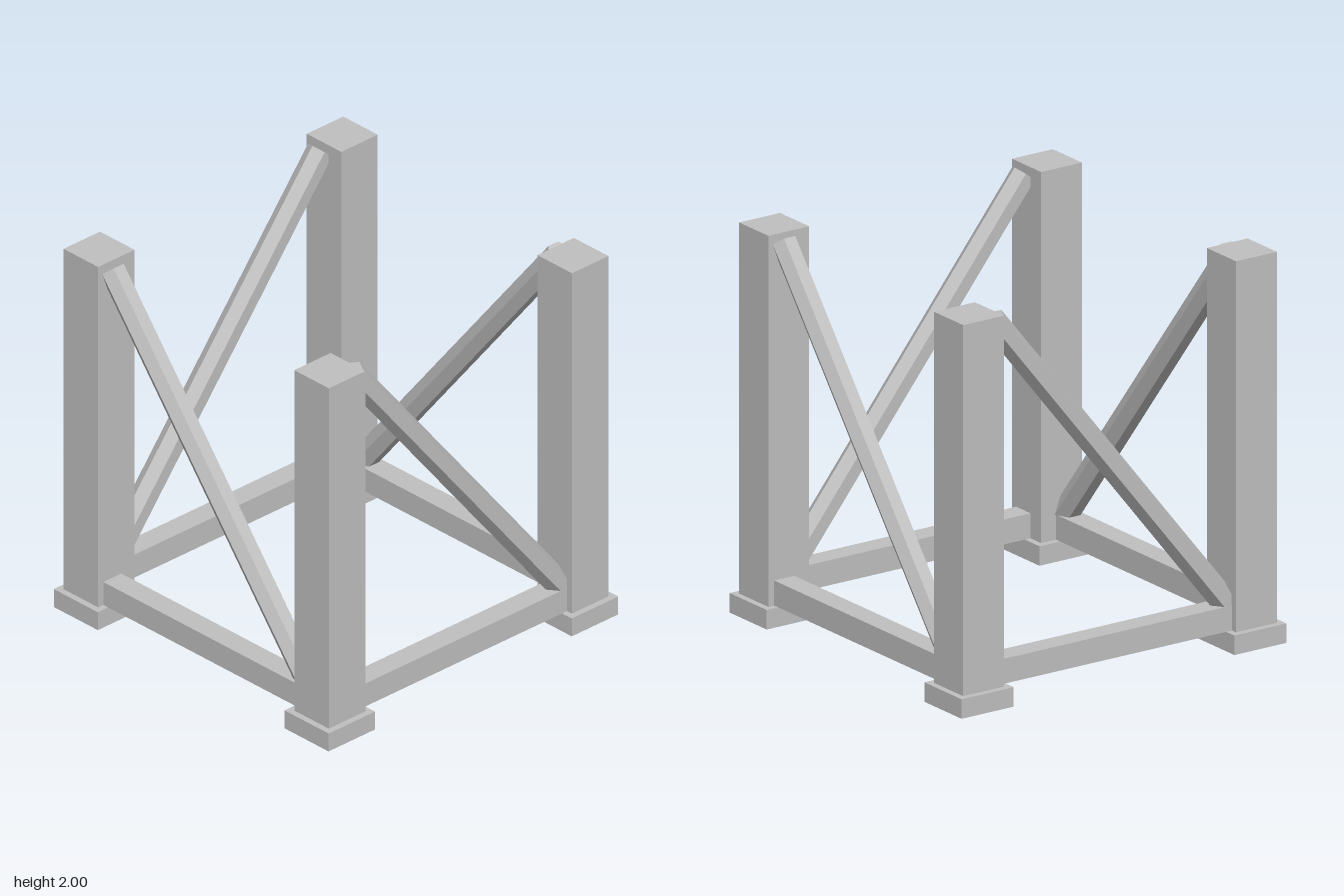
import * as THREE from 'three';

export function createModel() {
  const model = new THREE.Group();
  model.name = 'bracedTowerFrame';

  const grey = new THREE.MeshStandardMaterial({ color: 0xc0c0c0, flatShading: true });
  grey.name = 'concrete grey';

  const add = (name, geometry, x, y, z) => {
    const mesh = new THREE.Mesh(geometry, grey);
    mesh.name = name;
    mesh.position.set(x, y, z);
    model.add(mesh);
    return mesh;
  };

  const corner = 0.811;    // post centre line
  const side = 0.838;      // beam and brace centre line
  const inner = 0.69;      // inner face of the posts
  const footTop = 0.1, beamTop = 0.228, braceTop = 1.95;

  // Square posts on wider feet
  const postGeo = new THREE.BoxGeometry(0.243, 2 - footTop, 0.243);
  const footGeo = new THREE.BoxGeometry(0.31, footTop, 0.31);
  for (const sx of [-1, 1]) {
    for (const sz of [-1, 1]) {
      add('post', postGeo, sx * corner, (2 + footTop) / 2, sz * corner);
      add('foot', footGeo, sx * corner, footTop / 2, sz * corner);
    }
  }

  // Ground beams between the posts
  const beamHeight = beamTop - footTop;
  const beamY = (beamTop + footTop) / 2;
  const beamX = new THREE.BoxGeometry(2 * inner, beamHeight, 0.12);
  const beamZ = new THREE.BoxGeometry(0.12, beamHeight, 2 * inner);

  // Six-sided diagonal braces, one per side, winding round the frame
  const rise = braceTop - beamTop;
  const braceGeo = new THREE.CylinderGeometry(0.067, 0.067, Math.hypot(2 * inner, rise), 6);
  const lean = Math.atan2(2 * inner, rise);
  const braceY = (braceTop + beamTop) / 2;

  for (const s of [1, -1]) {
    add(s > 0 ? 'frontBeam' : 'backBeam', beamX, 0, beamY, s * side);
    add(s > 0 ? 'leftBeam' : 'rightBeam', beamZ, s * side, beamY, 0);
    add(s > 0 ? 'frontBrace' : 'backBrace', braceGeo, 0, braceY, s * side).rotation.z = s * lean;
    add(s > 0 ? 'leftBrace' : 'rightBrace', braceGeo, s * side, braceY, 0).rotation.x = s * lean;
  }

  return model;
}
